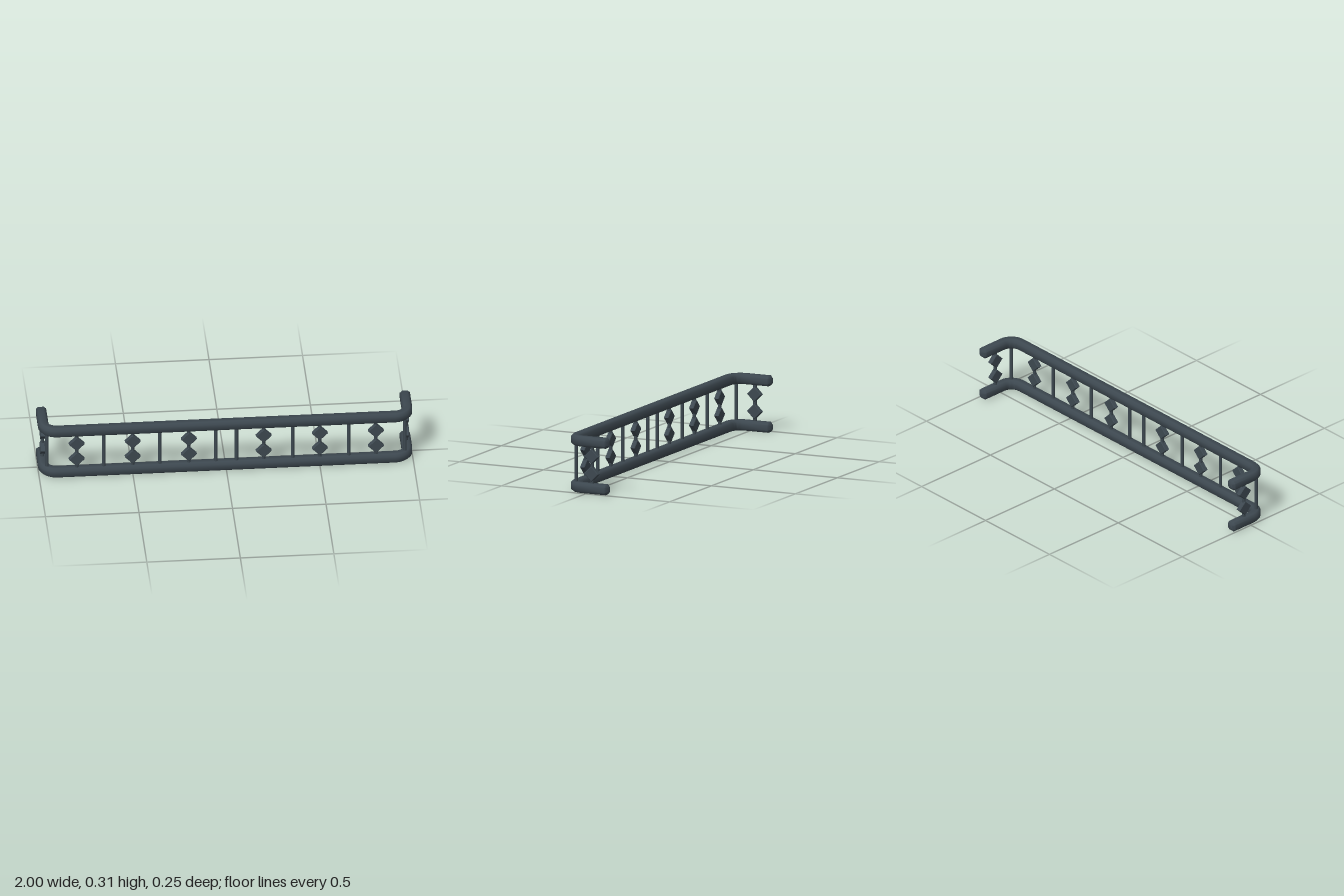
import * as THREE from 'three';
import { toCreasedNormals } from 'three/addons/utils/BufferGeometryUtils.js';

const HALF = 0.0275;   // half thickness of a rail
const CHAMFER = 0.012;
const RAIL_X = 1 - HALF, RAIL_Z = 0.125 - HALF, BEND = 0.07;
const LOW_Y = HALF, HIGH_Y = 0.307 - HALF;

// U-shaped rail: a chamfered square swept round two bends, with bevelled ends
function railGeometry() {
  const path = []; // [x, z, tangentX, tangentZ, scale]
  const steps = 8, inner = (HALF - CHAMFER) / HALF;
  path.push([-RAIL_X, -0.125, 0, 1, inner], [-RAIL_X, -0.125 + CHAMFER, 0, 1, 1]);
  for (const side of [-1, 1]) {
    for (let i = 0; i <= steps; i++) {
      const k = side < 0 ? i : steps - i;
      const a = (k / steps) * Math.PI / 2;
      path.push([
        side * (RAIL_X - BEND + BEND * Math.cos(a)),
        RAIL_Z - BEND + BEND * Math.sin(a),
        Math.sin(a), -side * Math.cos(a), 1,
      ]);
    }
  }
  path.push([RAIL_X, -0.125 + CHAMFER, 0, -1, 1], [RAIL_X, -0.125, 0, -1, inner]);

  const h = HALF, c = HALF - CHAMFER;
  const section = [[h, -c], [h, c], [c, h], [-c, h], [-h, c], [-h, -c], [-c, -h], [c, -h]];
  const n = section.length, pos = [], idx = [];
  for (const [x, z, tx, tz, s] of path)
    for (const [u, v] of section) pos.push(x - tz * u * s, v * s, z + tx * u * s);
  for (let i = 0; i < path.length - 1; i++)
    for (let j = 0; j < n; j++) {
      const a = i * n + j, b = i * n + (j + 1) % n;
      idx.push(a, a + n, b, b, a + n, b + n);
    }
  const last = (path.length - 1) * n;
  for (let j = 1; j < n - 1; j++) idx.push(0, j, j + 1, last, last + j + 1, last + j);

  const geo = new THREE.BufferGeometry();
  geo.setAttribute('position', new THREE.Float32BufferAttribute(pos, 3));
  geo.setIndex(idx);
  return toCreasedNormals(geo, 0.85);
}

// Square plate standing on its corner, with a fine bevel
function diamondGeometry() {
  const r = 0.038, bevel = 0.003, depth = 0.027;
  const shape = new THREE.Shape();
  shape.moveTo(r, 0);
  shape.lineTo(0, r);
  shape.lineTo(-r, 0);
  shape.lineTo(0, -r);
  shape.closePath();
  const geo = new THREE.ExtrudeGeometry(shape, {
    depth: depth - 2 * bevel, bevelEnabled: true,
    bevelThickness: bevel, bevelSize: bevel, bevelSegments: 1,
  });
  geo.translate(0, 0, -depth / 2 + bevel);
  return geo;
}

export function createModel() {
  const model = new THREE.Group();
  model.name = 'balconyRailing';
  const iron = new THREE.MeshStandardMaterial({ color: 0x3d4850 });
  iron.name = 'darkIron';

  const railGeo = railGeometry();
  const diamondGeo = diamondGeometry();
  const postGeo = new THREE.CylinderGeometry(0.0095, 0.0095, HIGH_Y - LOW_Y, 12, 1, true);

  const add = (parent, geo, name, x, y, z) => {
    const mesh = new THREE.Mesh(geo, iron);
    mesh.name = name;
    mesh.position.set(x, y, z);
    parent.add(mesh);
  };
  const midY = (LOW_Y + HIGH_Y) / 2;

  add(model, railGeo, 'bottomRail', 0, LOW_Y, 0);
  add(model, railGeo, 'topRail', 0, HIGH_Y, 0);

  // Baluster carrying two diamonds
  const addBaluster = (name, x, z, turn) => {
    const group = new THREE.Group();
    group.name = name;
    group.position.set(x, 0, z);
    group.rotation.y = turn;
    add(group, postGeo, 'balusterPost', 0, midY, 0);
    add(group, diamondGeo, 'lowerDiamond', 0, 0.107, 0);
    add(group, diamondGeo, 'upperDiamond', 0, 0.201, 0);
    model.add(group);
  };

  for (const side of [-1, 1]) {
    // Plain posts and decorated balusters along the front
    for (const x of [0.055, 0.355, 0.655]) add(model, postGeo, 'frontPost', side * x, midY, 0.1);
    for (const x of [0.2, 0.5, 0.8]) addBaluster('frontBaluster', side * x, 0.1, 0);
    // Corner post and the baluster on the short return
    add(model, postGeo, 'cornerPost', side * 0.957, midY, 0.078);
    addBaluster('sideBaluster', side * 0.972, -0.025, side * Math.PI / 2);
  }
  return model;
}
